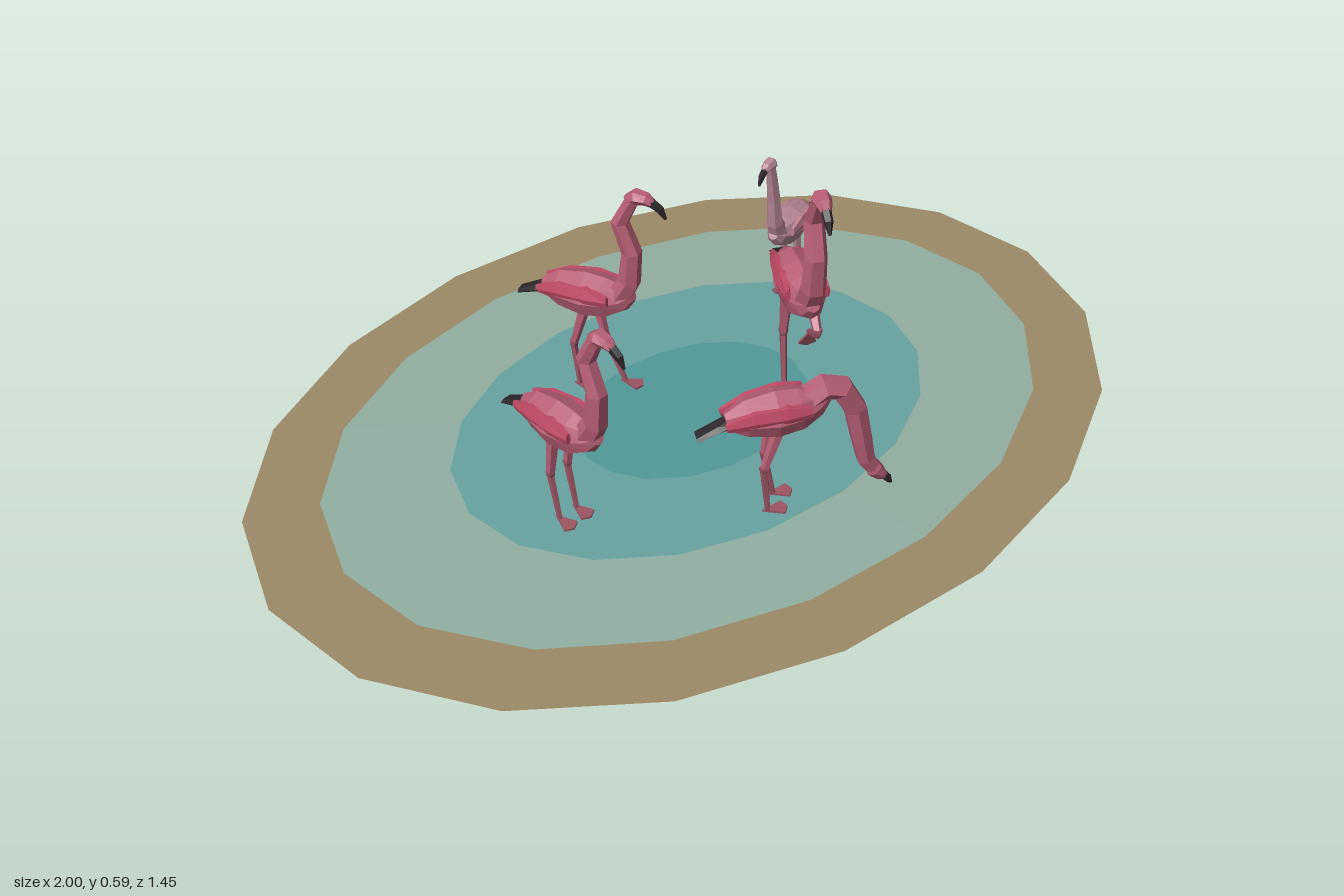
import * as THREE from 'three';

const mat = (color, side = THREE.FrontSide) =>
  new THREE.MeshStandardMaterial({ color, flatShading: true, side });

// Skin elliptical rings [z, y, halfWidth, halfHeight] along a path in the z-y plane
function loft(name, sections, sides, color, x = 0) {
  const pos = [], idx = [], last = sections.length - 1;
  sections.forEach(([z, y, w, h = w], i) => {
    const a = sections[Math.max(i - 1, 0)], b = sections[Math.min(i + 1, last)];
    const len = Math.hypot(b[0] - a[0], b[1] - a[1]);
    const tz = (b[0] - a[0]) / len, ty = (b[1] - a[1]) / len;
    for (let j = 0; j < sides; j++) {
      const t = (j / sides) * Math.PI * 2, n = h * Math.sin(t);
      pos.push(w * Math.cos(t), y + tz * n, z - ty * n);
    }
  });
  for (let i = 0; i < last; i++) {
    for (let j = 0; j < sides; j++) {
      const k = (j + 1) % sides, p = i * sides, q = p + sides;
      idx.push(p + j, p + k, q + k, p + j, q + k, q + j);
    }
  }
  for (let j = 1; j < sides - 1; j++) {
    const e = last * sides;
    idx.push(0, j + 1, j, e, e + j, e + j + 1);
  }
  const geo = new THREE.BufferGeometry();
  geo.setAttribute('position', new THREE.Float32BufferAttribute(pos, 3));
  geo.setIndex(idx);
  geo.computeVertexNormals();
  const mesh = new THREE.Mesh(geo, mat(color));
  mesh.name = name;
  mesh.position.x = x;
  return mesh;
}

// Neck, head and beak profiles
const upright = {
  neck: [[0.07, 0.255, 0.03], [0.1, 0.31, 0.025], [0.107, 0.385, 0.022], [0.082, 0.455, 0.02], [0.108, 0.51, 0.016], [0.12, 0.525, 0.014]],
  head: [[0.1, 0.514, 0.012], [0.12, 0.526, 0.019, 0.017], [0.142, 0.525, 0.015, 0.014], [0.155, 0.518, 0.01]],
  beak: [[0.152, 0.52, 0.01], [0.172, 0.508, 0.009], [0.184, 0.487, 0.003]]
};
const straight = {
  neck: [[0.07, 0.255, 0.03], [0.097, 0.31, 0.024], [0.108, 0.39, 0.02], [0.122, 0.46, 0.017], [0.135, 0.515, 0.014]],
  head: [[0.118, 0.508, 0.012], [0.135, 0.523, 0.019, 0.017], [0.158, 0.522, 0.015, 0.014], [0.17, 0.516, 0.01]],
  beak: [[0.167, 0.518, 0.01], [0.188, 0.508, 0.009], [0.2, 0.487, 0.003]]
};
const feeding = {
  neck: [[0.06, 0.265, 0.03], [0.1, 0.295, 0.027], [0.135, 0.285, 0.026], [0.165, 0.23, 0.025], [0.182, 0.15, 0.023], [0.195, 0.09, 0.02], [0.215, 0.055, 0.016]],
  head: [[0.203, 0.078, 0.013], [0.215, 0.056, 0.02, 0.019], [0.23, 0.04, 0.015], [0.238, 0.032, 0.01]],
  beak: [[0.235, 0.035, 0.01], [0.248, 0.02, 0.009], [0.255, 0.009, 0.003]]
};

// Hip, knee, ankle as [z, y]
const stand = [[0, 0.215], [-0.012, 0.125], [0.008, 0.014]];
const standBack = [[0, 0.215], [-0.025, 0.125], [-0.015, 0.014]];
const stride = [[0.01, 0.215], [0.03, 0.125], [0.075, 0.014]];
const raised = [[0.02, 0.21], [0.065, 0.175], [0.01, 0.135]];

function leg(x, [hip, knee, ankle], colors) {
  const g = new THREE.Group();
  g.name = x > 0 ? 'leftLeg' : 'rightLeg';
  g.position.x = x;
  g.add(loft('thigh', [[...hip, 0.013], [...knee, 0.009]], 5, colors.body));
  g.add(loft('shin', [[knee[0], knee[1] + 0.006, 0.01], [...knee, 0.01], [knee[0], knee[1] - 0.008, 0.008], [...ankle, 0.006]], 5, colors.leg));
  // Webbed foot
  const web = new THREE.Shape([[0, 0.012], [-0.018, -0.032], [0, -0.042], [0.018, -0.032]].map(p => new THREE.Vector2(...p)));
  const foot = new THREE.Mesh(new THREE.ExtrudeGeometry(web, { depth: 0.005, bevelEnabled: false }), mat(colors.leg));
  foot.name = 'foot';
  foot.rotation.x = -Math.PI / 2;
  if (ankle[1] > 0.1) foot.rotation.x = 0.4;
  foot.position.set(0, ankle[1] - 0.004, ankle[0]);
  g.add(foot);
  return g;
}

function bird({ name, at, heading, size, pose, legs, colors }) {
  const g = new THREE.Group();
  g.name = name;
  g.add(loft('body', [
    [-0.1, 0.245, 0.016, 0.02], [-0.06, 0.25, 0.038, 0.042], [0, 0.252, 0.049, 0.052],
    [0.05, 0.255, 0.043, 0.047], [0.085, 0.264, 0.028, 0.032], [0.105, 0.275, 0.014, 0.016]
  ], 8, colors.body));
  // Folded wings
  for (const s of [-1, 1]) {
    const wing = loft('wing', [
      [-0.105, 0.25, 0.005, 0.01], [-0.05, 0.262, 0.013, 0.024], [0.015, 0.268, 0.015, 0.026], [0.065, 0.27, 0.006, 0.014]
    ], 6, colors.wing, s * 0.034);
    wing.rotation.y = s * 0.08;
    g.add(wing);
  }
  g.add(loft('tail', [[-0.085, 0.248, 0.017, 0.016], [-0.115, 0.236, 0.02, 0.01], [-0.158, 0.217, 0.018, 0.005]], 6, 0x2b2629));
  g.add(loft('neck', pose.neck, 6, colors.body));
  g.add(loft('head', pose.head, 6, colors.body));
  g.add(loft('beak', pose.beak, 5, 0x2b2629));
  g.add(leg(0.023, legs[0], colors), leg(-0.023, legs[1], colors));
  g.scale.setScalar(size);
  g.position.set(at[0], 0.01 * (1 - size), at[1]);
  g.rotation.y = Math.atan2(heading[0], heading[1]);
  return g;
}

export function createModel() {
  const model = new THREE.Group();
  model.name = 'wadingBirdPond';

  // Shore and water, as stacked flat ovals getting deeper toward the middle
  [
    ['shore', 1, 0.735, 0, 0x9c8b68],
    ['shallowWater', 0.84, 0.597, 0.003, 0x92b0a2],
    ['middleWater', 0.558, 0.398, 0.005, 0x68a4a0],
    ['deepWater', 0.275, 0.2, 0.007, 0x529a9a]
  ].forEach(([name, rx, rz, y, color]) => {
    const disc = new THREE.Mesh(new THREE.CircleGeometry(1, 18), mat(color, THREE.DoubleSide));
    disc.name = name;
    disc.rotation.x = -Math.PI / 2;
    disc.scale.set(rx, rz, 1);
    disc.position.y = y;
    model.add(disc);
  });

  const pink = { body: 0xb85f76, wing: 0xc04a66, leg: 0x9c5563 };
  const pale = { body: 0xb88896, wing: 0xc08090, leg: 0x8a5a64 };
  [
    { name: 'leftRearBird', at: [0.42, -0.205], heading: [-0.9, 0.43], size: 0.82, pose: straight, legs: [stand, standBack], colors: pale },
    { name: 'tallBird', at: [0.235, 0.055], heading: [-0.4, 0.916], size: 1.1, pose: upright, legs: [raised, stand], colors: pink },
    { name: 'rightBird', at: [-0.4, 0.115], heading: [0.18, 0.98], size: 1, pose: upright, legs: [stand, stand], colors: pink },
    { name: 'rearBird', at: [-0.13, -0.205], heading: [0.527, 0.85], size: 1, pose: upright, legs: [stride, standBack], colors: pink },
    { name: 'feedingBird', at: [-0.045, 0.335], heading: [0.927, 0.375], size: 1, pose: feeding, legs: [stand, standBack], colors: pink }
  ].forEach(b => model.add(bird(b)));
  return model;
}
